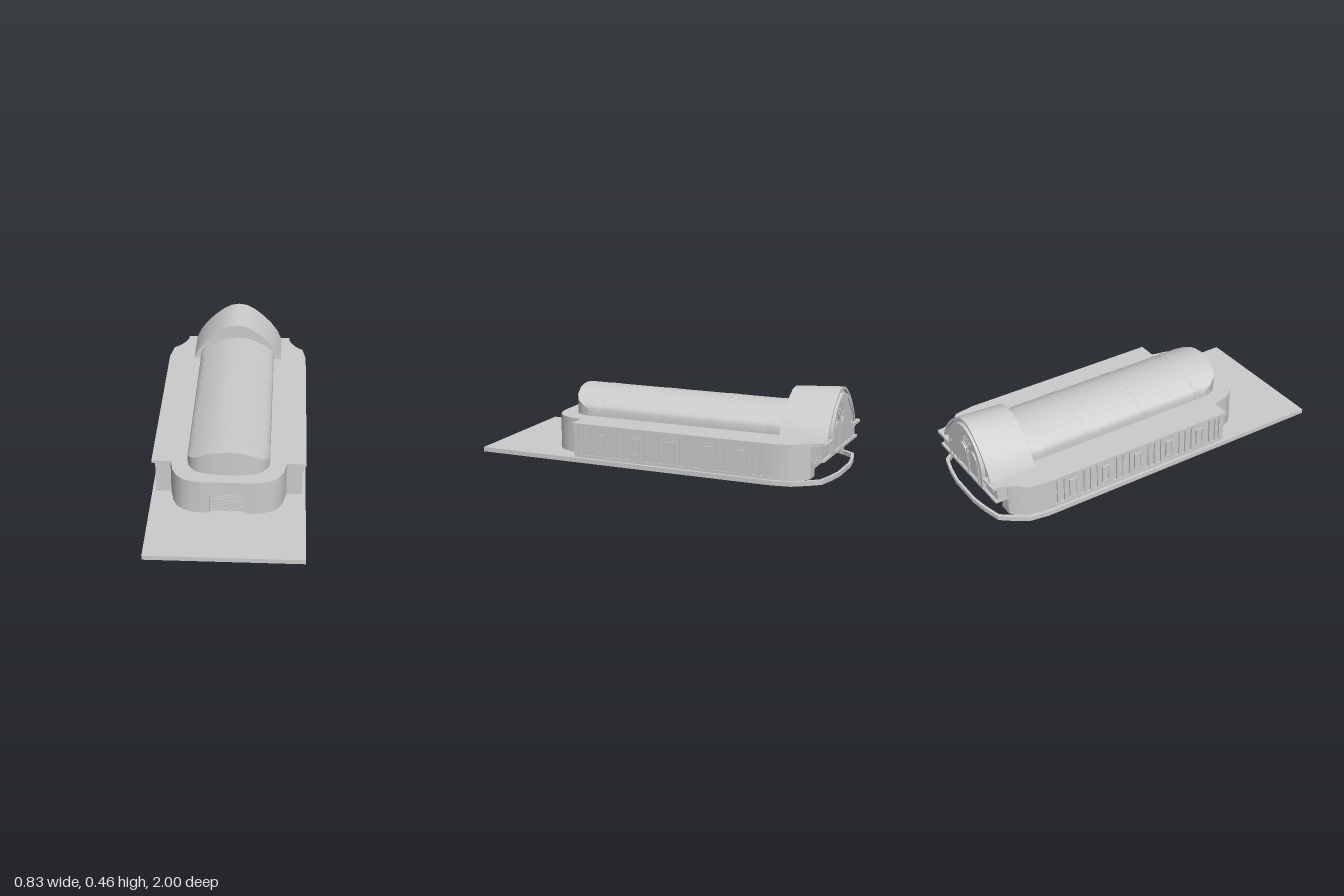
import * as THREE from 'three';
import { toCreasedNormals } from 'three/addons/utils/BufferGeometryUtils.js';

const grey = new THREE.MeshStandardMaterial({ color: 0xcccccc });

export function createModel() {
  const model = new THREE.Group();

  const add = (name, geometry) => {
    const mesh = new THREE.Mesh(geometry, grey);
    mesh.name = name;
    model.add(mesh);
  };
  // Box given by its limits on each axis
  const box = (name, x0, x1, y0, y1, z0, z1) => add(name,
    new THREE.BoxGeometry(x1 - x0, y1 - y0, z1 - z0)
      .translate((x0 + x1) / 2, (y0 + y1) / 2, (z0 + z1) / 2));
  // Surface through rows of points
  const loft = (name, rows) => {
    const pos = [], p = (i, j) => rows[i][j];
    for (let i = 0; i < rows.length - 1; i++)
      for (let j = 0; j < rows[0].length - 1; j++)
        pos.push(...p(i, j), ...p(i + 1, j), ...p(i, j + 1),
          ...p(i, j + 1), ...p(i + 1, j), ...p(i + 1, j + 1));
    const g = new THREE.BufferGeometry();
    g.setAttribute('position', new THREE.Float32BufferAttribute(pos, 3));
    g.computeVertexNormals();
    add(name, toCreasedNormals(g, 0.6));
  };
  // Upright wall along a plan path
  const wall = (name, path, y0, y1) => loft(name,
    [path.map(([x, z]) => [x, y1, z]), path.map(([x, z]) => [x, y0, z])]);
  const toShape = (pts) => new THREE.Shape(pts.map(([x, y]) => new THREE.Vector2(x, y)));
  // Continue a list running from +x to the middle onto the other side
  const mirror = (pts) => [...pts, ...pts.slice().reverse().filter(([x]) => x > 0).map(([x, y]) => [-x, y])];
  const flip = (pts) => pts.slice().reverse().map(([x, z]) => [-x, z]);
  const extrude = (shape, depth) => new THREE.ExtrudeGeometry(shape, { depth, bevelEnabled: false, curveSegments: 16 });
  // Flat slab with a plan outline
  const slab = (name, plan, y0, y1) => add(name,
    extrude(toShape(plan.map(([x, z]) => [x, -z])), y1 - y0).rotateX(-Math.PI / 2).translate(0, y0, 0));

  // Ground slab and the narrow kerb that rounds off its open rear end
  slab('groundSlab', mirror([[0.415, 1], [0.415, -0.72], [0.397, -0.83]]), 0, 0.025);
  const kerb = mirror([[0.397, -0.825], [0.34, -0.91], [0.3, -0.96], [0.2, -0.985], [0.1, -1]]);
  slab('rearKerb', [...kerb, ...kerb.slice().reverse().map(([x, z]) => [x * 0.96, z + 0.014])], 0, 0.025);

  // Flat roof over the long hall, notched for the rear gable
  slab('flatRoof', mirror([[0.415, 0.43], [0.415, -0.72], [0.397, -0.83], [0.355, -0.87],
    [0.33, -0.91], [0.315, -0.95], [0.313, -0.985], [0.2, -0.985], [0.2, -0.95]]), 0.205, 0.22);

  // Hall walls with corner piers, curving in at the rear and open between their ends
  const side = [[0.31, 0.428], [0.395, 0.428], [0.395, 0.4], [0.385, 0.4], [0.385, -0.68], [0.395, -0.68],
    [0.395, -0.72], [0.378, -0.82], [0.335, -0.88], [0.31, -0.9], [0.24, -0.9]];
  wall('rightHallWall', side, 0.025, 0.205);
  wall('leftHallWall', flip(side), 0.025, 0.205);

  // Side bays: flat panel, framed window, slim pilasters between
  for (const s of [-1, 1]) {
    const relief = (name, depth, y0, y1, z, w) =>
      box(name, Math.min(s * 0.37, s * depth), Math.max(s * 0.37, s * depth), y0, y1, z - w / 2, z + w / 2);
    relief('plinth', 0.396, 0.025, 0.04, -0.14, 1.08);
    for (let i = 0; i < 5; i++) {
      const z = 0.26 - i * 0.205;
      relief('bayPanel', 0.394, 0.04, 0.205, z, 0.1);
      for (const e of [-1, 1]) {
        relief('windowJamb', 0.404, 0.07, 0.162, z + e * 0.019, 0.006);
        relief('windowRail', 0.404, 0.113 + e * 0.046, 0.119 + e * 0.046, z, 0.044);
      }
      relief('windowPane', 0.399, 0.07, 0.162, z, 0.034);
    }
    for (let i = 0; i < 6; i++)
      for (const e of [-0.02, 0.02]) relief('pilaster', 0.394, 0.04, 0.205, 0.3625 - i * 0.205 + e, 0.02);
  }

  // Rounded entrance block: curved flanks, door front, roof
  const flank = [[0.14, 0.62], [0.19, 0.612], [0.235, 0.594], [0.27, 0.562], [0.295, 0.51], [0.305, 0.455], [0.312, 0.43]];
  wall('entranceFlankRight', flank, 0.025, 0.22);
  wall('entranceFlankLeft', flip(flank), 0.025, 0.22);
  slab('entranceRoof', mirror(flank.slice().reverse()), 0.21, 0.22);
  add('entranceFront', extrude(toShape([[-0.14, 0.025], [-0.095, 0.025], [-0.095, 0.132], [-0.08, 0.152],
    [0.08, 0.152], [0.095, 0.132], [0.095, 0.025], [0.14, 0.025], [0.14, 0.22], [-0.14, 0.22]]), 0.02)
    .translate(0, 0, 0.6));

  // Slatted double door set back in the opening
  box('doorPanel', -0.1, 0.1, 0.025, 0.155, 0.59, 0.599);
  for (let i = 0; i < 14; i++)
    for (const s of [-1, 1])
      box('doorSlat', s * 0.0475 - 0.0465, s * 0.0475 + 0.0465, 0.027 + i * 0.0078, 0.0335 + i * 0.0078, 0.596, 0.601);

  // Long barrel vault, its front end cut to a rounded plan
  const vaultHalf = [[0.22, 0.22], [0.22, 0.258], [0.212, 0.278], [0.185, 0.298], [0.145, 0.322],
    [0.085, 0.351], [0.045, 0.358], [0, 0.363]];
  const frontZ = [0.43, 0.43, 0.468, 0.51, 0.533, 0.545, 0.55, 0.55];
  const vault = mirror(vaultHalf).reverse();
  const endZ = vault.map((_, i) => frontZ[Math.min(i, vault.length - 1 - i)]);
  loft('longVault', [vault.map(([x, y]) => [x, y, -0.72]), vault.map(([x, y], i) => [x, y, endZ[i]])]);
  loft('vaultFront', [vault.map(([x, y], i) => [x, y, endZ[i]]), vault.map(([x], i) => [x, 0.215, endZ[i]])]);

  // Almost flush ribs across the vault
  for (const z of [0.385, 0.03, -0.325, -0.66]) {
    const ring = (d, dz) => vault.map(([x, y]) => [x * (1 + d * 4), y + d, z + dz]);
    loft('vaultRib', [ring(0, -0.035), ring(0.001, -0.035), ring(0.001, 0.035), ring(0, 0.035)]);
  }

  // Tall rear vault, rising slightly to the back
  const tallHalf = [[0.264, 0.22], [0.238, 0.278], [0.2, 0.331], [0.15, 0.383], [0.095, 0.427], [0.047, 0.453], [0, 0.46]];
  const tall = mirror(tallHalf).reverse();
  const tallAt = (z, ky, k = 1) => tall.map(([x, y]) => [x * k, 0.22 + (y - 0.22) * ky * k, z]);
  loft('rearVault', [tallAt(-0.955, 1, 0.94), tallAt(-0.972, 1, 0.94), tallAt(-0.972, 1), tallAt(-0.71, 0.93)]);
  add('rearVaultFront', extrude(toShape(tallAt(0, 0.93)), 0.01).translate(0, 0, -0.72));
  add('rearGable', extrude(toShape(tallAt(0, 1, 0.97)), 0.01).translate(0, 0, -0.958));

  // Rear upper wall hanging over the open back, with its sill
  box('rearWall', -0.305, 0.305, 0.13, 0.221, -0.958, -0.87);
  box('rearSill', -0.31, 0.31, 0.12, 0.133, -0.972, -0.87);

  // Pointed arch outline, from the foot up to the crown
  const arch = (w, foot, top) => {
    const a = new THREE.Shape(), spring = top - w * 1.15;
    a.moveTo(-w, foot);
    a.lineTo(-w, spring);
    a.bezierCurveTo(-w, spring + w * 0.65, -w * 0.5, top, 0, top);
    a.bezierCurveTo(w * 0.5, top, w, spring + w * 0.65, w, spring);
    a.lineTo(w, foot);
    return a;
  };
  const archFrame = (name, x, w, foot, top, t, zBack) => {
    const shape = arch(w, foot, top);
    shape.holes.push(arch(w - t, foot + 0.002, top - t));
    add(name, extrude(shape, -0.95 - zBack).translate(x, 0, zBack));
  };
  archFrame('outerArch', 0, 0.185, 0.133, 0.425, 0.018, -0.98);
  archFrame('middleArch', 0, 0.16, 0.133, 0.403, 0.012, -0.975);
  archFrame('windowArch', 0, 0.125, 0.133, 0.385, 0.01, -0.97);

  // Great window: two lancets and a mullion below a rose
  box('mullion', -0.005, 0.005, 0.133, 0.29, -0.968, -0.955);
  for (const s of [-1, 1]) archFrame('lancet', s * 0.056, 0.05, 0.14, 0.285, 0.006, -0.967);
  add('roseRing', new THREE.TorusGeometry(0.042, 0.004, 6, 24).translate(0, 0.328, -0.962));
  for (let i = 0; i < 6; i++) {
    const a = i * Math.PI / 3;
    add('rosePetal', new THREE.TorusGeometry(0.013, 0.0025, 5, 14)
      .translate(0.026 * Math.cos(a), 0.328 + 0.026 * Math.sin(a), -0.962));
  }
  return model;
}
